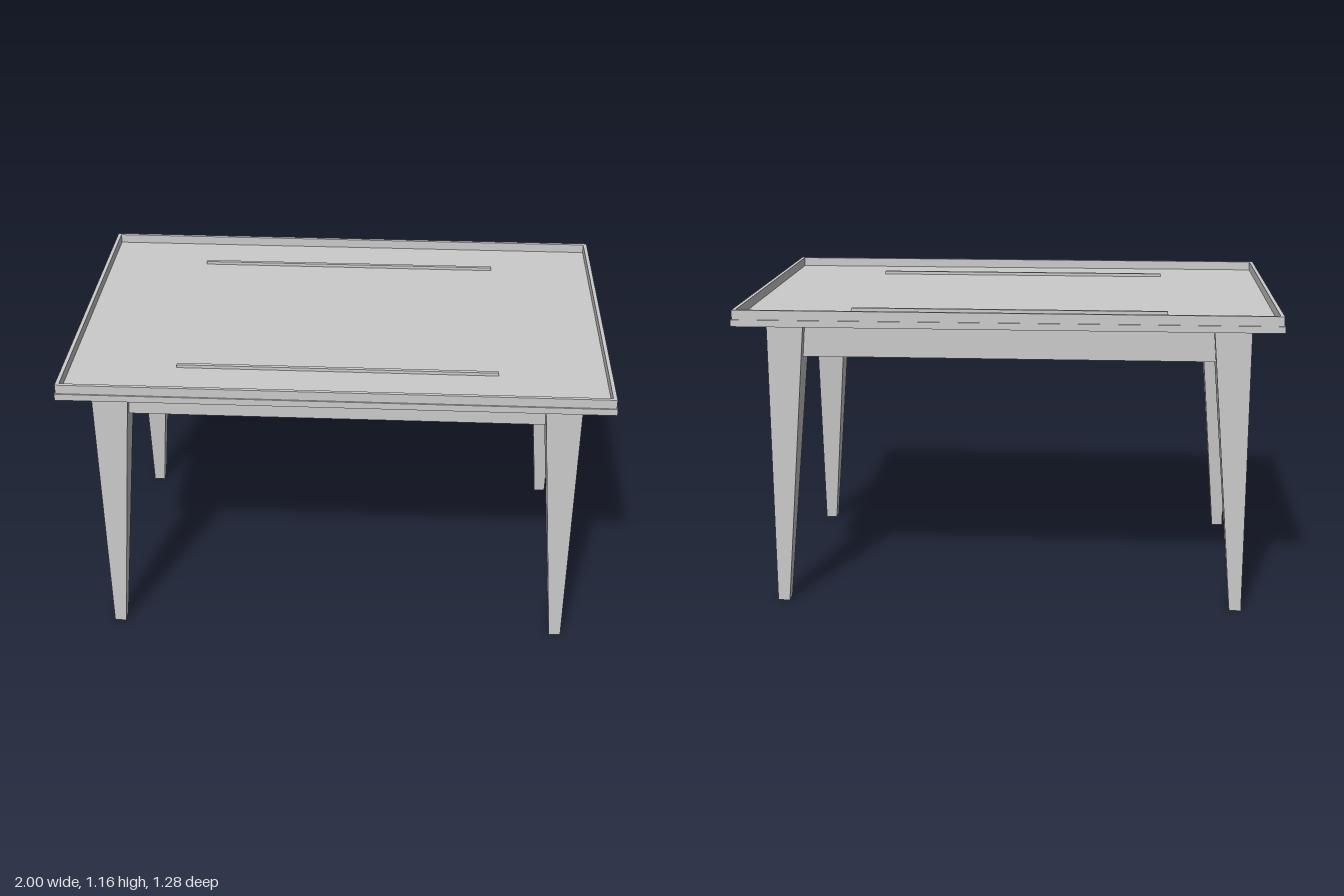
import * as THREE from 'three';

const material = new THREE.MeshStandardMaterial({ color: 0xcccccc, flatShading: true });

function createBox(name, size, position) {
  const mesh = new THREE.Mesh(new THREE.BoxGeometry(...size), material);
  mesh.name = name;
  mesh.position.set(...position);
  return mesh;
}

// Straight on the two outer faces, tapering on the two inner faces
function createLeg(name, sx, sz) {
  const geometry = new THREE.BoxGeometry(1, 1, 1);
  const p = geometry.attributes.position;
  for (let i = 0; i < p.count; i++) {
    const top = p.getY(i) > 0;
    const x = p.getX(i) * sx > 0 ? 0.895 : top ? 0.757 : 0.85;
    const z = p.getZ(i) * sz > 0 ? 0.528 : top ? 0.388 : 0.48;
    p.setXYZ(i, x * sx, top ? 1.105 : 0, z * sz);
  }
  geometry.computeVertexNormals();
  const leg = new THREE.Mesh(geometry, material);
  leg.name = name;
  return leg;
}

function rectangle(PathType, x, z) {
  return new PathType([
    new THREE.Vector2(-x, -z), new THREE.Vector2(x, -z),
    new THREE.Vector2(x, z), new THREE.Vector2(-x, z),
  ]);
}

export function createModel() {
  const table = new THREE.Group();
  table.name = 'table';

  // Top panel with a slightly inset raised rim
  table.add(createBox('tabletop', [2, 0.025, 1.28], [0, 1.1175, 0]));
  const rimShape = rectangle(THREE.Shape, 0.996, 0.635);
  rimShape.holes.push(rectangle(THREE.Path, 0.982, 0.622));
  const rimGeometry = new THREE.ExtrudeGeometry(rimShape, { depth: 0.035, bevelEnabled: false });
  rimGeometry.rotateX(-Math.PI / 2);
  const rim = new THREE.Mesh(rimGeometry, material);
  rim.name = 'rim';
  rim.position.y = 1.13;
  table.add(rim);

  // Thin strips lying on the panel
  table.add(createBox('backStrip', [1.18, 0.012, 0.014], [0, 1.136, -0.437]));
  table.add(createBox('frontStrip', [1.18, 0.012, 0.014], [0, 1.136, 0.422]));

  // Legs and aprons
  for (const s of [-1, 1]) {
    const end = s > 0 ? 'front' : 'back';
    const side = s > 0 ? 'left' : 'right';
    table.add(createLeg(`${end}LeftLeg`, 1, s));
    table.add(createLeg(`${end}RightLeg`, -1, s));
    table.add(createBox(`${end}Apron`, [1.58, 0.14, 0.034], [0, 1.035, s * 0.473]));
    table.add(createBox(`${side}Apron`, [0.034, 0.14, 0.84], [s * 0.843, 1.035, 0]));
  }
  return table;
}
